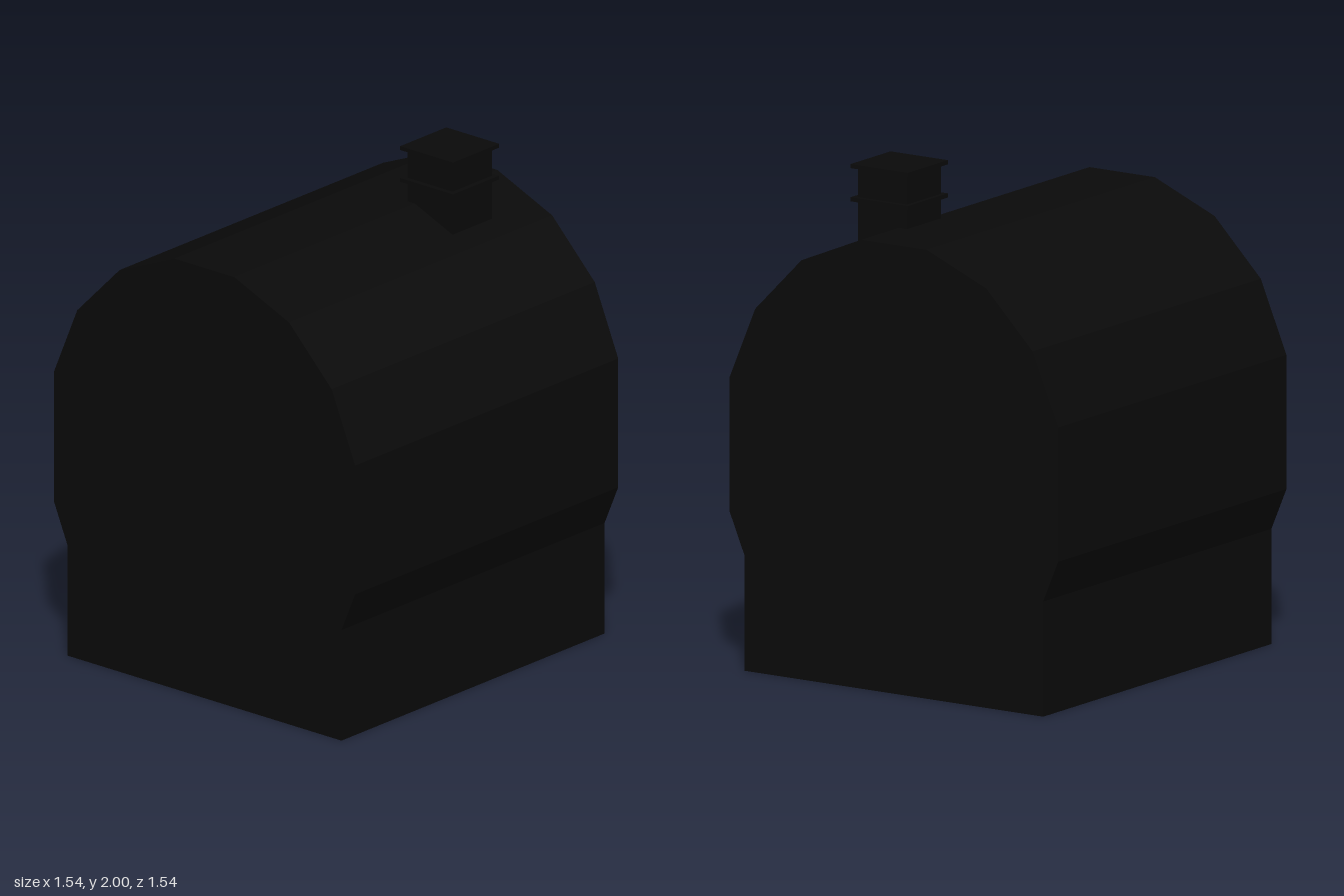
import * as THREE from 'three';

export function createModel() {
  const model = new THREE.Group();
  const black = new THREE.MeshStandardMaterial({ color: 0x0a0a0a });
  black.name = 'black';

  const add = (name, geometry, x = 0, y = 0, z = 0) => {
    const mesh = new THREE.Mesh(geometry, black);
    mesh.name = name;
    mesh.position.set(x, y, z);
    model.add(mesh);
  };

  // Barrel-roofed body: half outline from base to ridge, mirrored across x
  const half = [
    [0.70, 0], [0.70, 0.455], [0.77, 0.62], [0.77, 1.15],
    [0.65, 1.435], [0.433, 1.655], [0.153, 1.772],
  ];
  const mirrored = half.map(([x, y]) => [-x, y]).reverse();
  const outline = new THREE.Shape([...half, ...mirrored].map(([x, y]) => new THREE.Vector2(x, y)));
  const depth = 1.54;
  const body = new THREE.ExtrudeGeometry(outline, { depth, bevelEnabled: false });
  body.translate(0, 0, -depth / 2);
  add('body', body);

  // Square chimney towards the back left, with two thin bands
  const cx = 0.23, cz = -0.402;
  add('chimney', new THREE.BoxGeometry(0.23, 0.375, 0.23), cx, 1.81, cz);
  add('chimneyCap', new THREE.BoxGeometry(0.27, 0.016, 0.27), cx, 1.992, cz);
  add('chimneyBand', new THREE.BoxGeometry(0.27, 0.016, 0.27), cx, 1.861, cz);

  return model;
}
